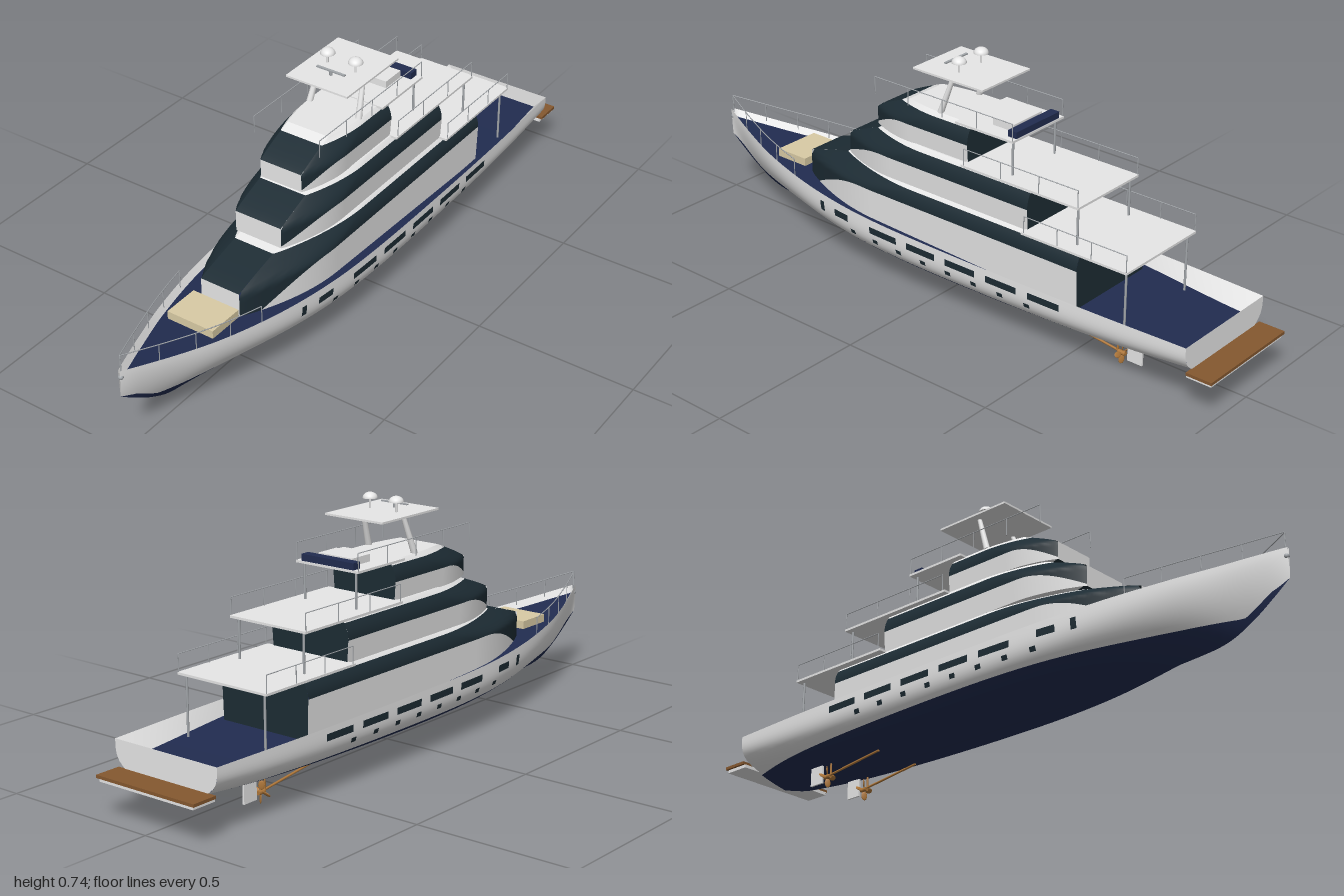
import * as THREE from 'three';

const mat = (name, color, side = THREE.DoubleSide) => {
  const m = new THREE.MeshStandardMaterial({ color, side });
  m.name = name;
  return m;
};
const WHITE = mat('white paint', 0xe9e9e9), NAVY = mat('navy', 0x212c50), GLASS = mat('dark glass', 0x1d2c34),
  TEAK = mat('teak', 0x85582f), CREAM = mat('cream cushion', 0xd9cba5), BRONZE = mat('bronze', 0xb0783a),
  STEEL = mat('steel', 0xa4a8ac);

// Smooth function through a few [z, value] stations
function stations(pts) {
  const n = pts.length;
  const slope = i => {
    const a = pts[Math.max(0, i - 1)], b = pts[Math.min(n - 1, i + 1)];
    return (b[1] - a[1]) / (b[0] - a[0]);
  };
  return z => {
    let i = 0;
    while (i < n - 2 && z > pts[i + 1][0]) i++;
    const [z0, a] = pts[i], [z1, b] = pts[i + 1], d = z1 - z0, t = THREE.MathUtils.clamp((z - z0) / d, 0, 1);
    const t2 = t * t, t3 = t2 * t;
    return a * (2 * t3 - 3 * t2 + 1) + b * (3 * t2 - 2 * t3) + d * (slope(i) * (t3 - 2 * t2 + t) + slope(i + 1) * (t3 - t2));
  };
}

// Smooth surface from fn(u, v) -> [x, y, z]
function sheet(parent, name, material, nu, nv, fn) {
  const pos = [], idx = [];
  for (let i = 0; i <= nu; i++) for (let j = 0; j <= nv; j++) pos.push(...fn(i / nu, j / nv));
  for (let i = 0; i < nu; i++) for (let j = 0; j < nv; j++) {
    const a = i * (nv + 1) + j, b = a + nv + 1;
    idx.push(a, b, a + 1, b, b + 1, a + 1);
  }
  const g = new THREE.BufferGeometry();
  g.setAttribute('position', new THREE.Float32BufferAttribute(pos, 3));
  g.setIndex(idx);
  g.computeVertexNormals();
  return add(parent, name, g, material);
}
function add(parent, name, geo, material, x = 0, y = 0, z = 0) {
  const m = new THREE.Mesh(geo, material);
  m.name = name;
  m.position.set(x, y, z);
  parent.add(m);
  return m;
}
// Box given by its limits
const box = (p, name, m, x0, x1, y0, y1, z0, z1) => add(p, name, new THREE.BoxGeometry(x1 - x0, y1 - y0, z1 - z0), m,
  (x0 + x1) / 2, (y0 + y1) / 2, (z0 + z1) / 2);
// Round bar between two points
function bar(p, name, m, a, b, r, r2 = r) {
  const A = new THREE.Vector3(...a), B = new THREE.Vector3(...b), d = B.clone().sub(A);
  const mesh = add(p, name, new THREE.CylinderGeometry(r2, r, d.length(), 8), m);
  mesh.position.copy(A).add(B).multiplyScalar(0.5);
  mesh.quaternion.setFromUnitVectors(new THREE.Vector3(0, 1, 0), d.normalize());
  return mesh;
}

// Hull lines
const STERN = -0.92;
const beam = stations([[-0.92, 0.185], [-0.6, 0.197], [-0.2, 0.202], [0.1, 0.2], [0.3, 0.19], [0.5, 0.163], [0.7, 0.115], [0.85, 0.063], [0.95, 0.024], [1, 0.003]]);
const keel = stations([[-0.92, 0.08], [-0.7, 0.058], [-0.4, 0.045], [0, 0.041], [0.5, 0.047], [0.7, 0.055], [0.8, 0.068], [0.88, 0.105], [0.95, 0.152], [1, 0.19]]);
const sheer = stations([[-0.92, 0.205], [0, 0.209], [0.3, 0.215], [0.6, 0.232], [0.8, 0.25], [1, 0.277]]);
const fullness = stations([[-0.92, 3.6], [0, 4.2], [0.3, 3.8], [0.6, 2.6], [0.85, 1.8], [1, 1.5]]);
const halfWidth = (z, y) => {
  const t = THREE.MathUtils.clamp((y - keel(z)) / (sheer(z) - keel(z)), 0, 1);
  return beam(z) * (1 - Math.pow(1 - t, fullness(z)));
};
const waterline = z => Math.max(0.108 + 0.005 * z, keel(z) + 0.018 * Math.min(1, (1 - z) / 0.06));
const along = u => STERN + (1 - STERN) * (1 - Math.pow(1 - u, 1.5));
const mix = THREE.MathUtils.lerp;
const deckY = z => sheer(z) - mix(0.05, 0.02, THREE.MathUtils.smoothstep(z, -0.9, 0.4));
const deckHalf = z => Math.max(0.001, beam(z) - mix(0.042, 0.013, THREE.MathUtils.smoothstep(z, -0.95, -0.4)));

function buildHull(root) {
  const hull = new THREE.Group();
  hull.name = 'hull';
  root.add(hull);
  sheet(hull, 'hullBottom', NAVY, 64, 32, (u, v) => {
    const z = along(u), s = 2 * v - 1, y = mix(keel(z), waterline(z), Math.pow(Math.abs(s), 1.4));
    return [Math.sign(s) * halfWidth(z, y), y, z];
  });
  for (const s of [-1, 1]) {
    sheet(hull, 'topside', WHITE, 64, 10, (u, v) => {
      const z = along(u), y = mix(waterline(z), sheer(z), v);
      return [s * halfWidth(z, y), y, z];
    });
    sheet(hull, 'bulwarkInside', WHITE, 64, 1, (u, v) => {
      const z = along(u);
      return [s * mix(beam(z), deckHalf(z), v), mix(sheer(z), deckY(z), v), z];
    });
    // Windows and portholes lying on the hull skin
    const pane = (name, z0, z1, y0, y1) => sheet(hull, name, GLASS, 4, 2, (u, v) => {
      const z = mix(z0, z1, u), y = mix(y0, y1, v);
      return [s * (halfWidth(z, y) + 0.002), y, z];
    });
    pane('hullWindow', 0.3, 0.36, 0.171, 0.193);
    for (let i = 0; i < 5; i++) pane('hullWindow', 0.095 - i * 0.151, 0.205 - i * 0.151, 0.168, 0.189);
    for (let i = 0; i < 8; i++) pane('porthole', 0.272 - i * 0.0965, 0.292 - i * 0.0965, 0.136, 0.15);
    pane('anchorPocket', 0.41, 0.428, 0.165, 0.198);
  }
  // Transom
  const transom = (name, m, y0, y1) => sheet(hull, name, m, 16, 8, (u, v) => {
    const y = mix(y0, y1, v);
    return [(2 * u - 1) * halfWidth(STERN, y), y, STERN];
  });
  transom('transomBottom', NAVY, keel(STERN), waterline(STERN));
  transom('transom', WHITE, waterline(STERN), sheer(STERN));
  sheet(hull, 'deck', NAVY, 64, 2, (u, v) => {
    const z = along(u);
    return [(2 * v - 1) * deckHalf(z), deckY(z), z];
  });
  box(hull, 'swimPlatform', WHITE, -0.17, 0.17, 0.108, 0.118, -0.995, -0.915);
  box(hull, 'platformTeak', TEAK, -0.177, 0.177, 0.118, 0.127, -1, -0.918);
  box(hull, 'sunPad', CREAM, -0.078, 0.078, 0.225, 0.25, 0.59, 0.705);
  add(hull, 'bowFairlead', new THREE.SphereGeometry(0.008, 12, 8), STEEL, 0, 0.253, 0.994);
}

// Superstructure deck: raked nose, rounded shoulders, glass band dipping forward
function buildTier(root, { name, W, nose, front, topZ, aft, y0, yMid, yTop, L }) {
  const tier = new THREE.Group();
  tier.name = name;
  root.add(tier);
  const h = y => THREE.MathUtils.clamp((y - yMid) / (yTop - yMid), 0, 1);
  const wide = y => W - 0.024 * Math.pow(h(y), 2.2) - 0.004 * (1 - THREE.MathUtils.clamp((y - y0) / (yMid - y0), 0, 1));
  const zFront = y => mix(front, topZ, Math.pow(h(y), 1.15));
  const outline = (u, y) => {
    const s = Math.min(1, u / 0.8), zs = zFront(y) - L * s;
    return [mix(nose, wide(y), Math.pow(Math.sin(s * Math.PI / 2), 0.85)), y, u < 0.8 ? zs : mix(zs, aft, (u - 0.8) / 0.2)];
  };
  const yRoof = mix(yMid, yTop, 0.78);
  const sill = u => mix(y0 + 0.006, yMid, Math.min(1, Math.sin(Math.min(1, u / 0.7) * Math.PI / 2)));
  const band = (part, m, lo, hi, noseLo) => {
    for (const s of [-1, 1]) sheet(tier, part + 'Side', m, 40, 8, (u, v) => {
      const [x, y, z] = outline(u, mix(lo(u), hi(u), v));
      return [s * x, y, z];
    });
    sheet(tier, part + 'Nose', m, 2, 8, (u, v) => {
      const y = mix(noseLo, hi(1), v);
      return [(2 * u - 1) * nose, y, zFront(y)];
    });
  };
  band('wall', WHITE, () => y0, sill, y0);
  band('window', GLASS, sill, () => yRoof, yMid);
  band('roofEdge', WHITE, () => yRoof, () => yTop, yRoof);
  sheet(tier, 'roof', WHITE, 40, 2, (u, v) => {
    const [x, y, z] = outline(u, yTop);
    return [(2 * v - 1) * x, y, z];
  });
  sheet(tier, 'aftGlass', GLASS, 2, 12, (u, v) => {
    const y = mix(y0, yTop, v);
    return [(2 * u - 1) * wide(y), y, aft];
  });
}

// Aft deck overhang with posts below and side rails above
function buildTerrace(root, { name, w, y, aft, slabFront, railFront, floor, posts }) {
  const g = new THREE.Group();
  g.name = name;
  root.add(g);
  box(g, 'terraceSlab', WHITE, -w, w, y - 0.007, y, aft, slabFront);
  for (const s of [-1, 1]) {
    bar(g, 'support', STEEL, [s * (w - 0.02), floor, aft + 0.015], [s * (w - 0.02), y - 0.004, aft + 0.015], 0.0035);
    const x = s * (w - 0.002);
    bar(g, 'handrail', STEEL, [x, y + 0.051, aft + 0.003], [x, y + 0.051, railFront], 0.0014);
    for (let i = 0; i < posts; i++) {
      const z = mix(aft + 0.003, railFront, i / (posts - 1));
      bar(g, 'railPost', STEEL, [x, y - 0.003, z], [x, y + 0.051, z], 0.0014);
    }
  }
}

function buildMast(root) {
  const mast = new THREE.Group();
  mast.name = 'mast';
  root.add(mast);
  box(mast, 'hardtop', WHITE, -0.105, 0.105, 0.691, 0.697, -0.152, 0.107);
  bar(mast, 'radarPost', STEEL, [0, 0.697, 0.035], [0, 0.711, 0.035], 0.005);
  box(mast, 'radarArm', STEEL, -0.048, 0.048, 0.709, 0.713, 0.031, 0.039);
  for (const s of [-1, 1]) {
    bar(mast, 'mastLeg', WHITE, [s * 0.085, 0.575, 0.02], [s * 0.074, 0.692, -0.02], 0.01, 0.007);
    bar(mast, 'domeStem', WHITE, [s * 0.048, 0.695, -0.018], [s * 0.048, 0.728, -0.018], 0.003);
    const dome = add(mast, 'satelliteDome', new THREE.SphereGeometry(0.022, 24, 10, 0, Math.PI * 2, 0, Math.PI / 2), WHITE, s * 0.048, 0.727, -0.018);
    dome.scale.y = 0.8;
    const base = add(mast, 'domeBase', new THREE.CircleGeometry(0.022, 24), WHITE, s * 0.048, 0.727, -0.018);
    base.rotation.x = Math.PI / 2;
  }
}

function buildRunningGear(root, s) {
  const g = new THREE.Group();
  g.name = 'runningGear';
  root.add(g);
  const x = s * 0.077, y = 0.034, z = -0.64;
  bar(g, 'shaft', BRONZE, [x, y, z - 0.012], [x, 0.062, -0.42], 0.0035);
  bar(g, 'hub', BRONZE, [x, y, z - 0.012], [x, y, z + 0.012], 0.007);
  for (let i = 0; i < 4; i++) {
    const spin = new THREE.Group();
    spin.position.set(x, y, z);
    spin.rotation.z = i * Math.PI / 2 + 0.1;
    g.add(spin);
    const blade = add(spin, 'blade', new THREE.SphereGeometry(1, 12, 8), BRONZE, 0, 0.02, 0);
    blade.scale.set(0.009, 0.014, 0.0022);
    blade.rotation.y = 0.6;
  }
  bar(g, 'strut', BRONZE, [x, y, z + 0.015], [x, 0.075, z + 0.015], 0.003);
  box(g, 'rudder', WHITE, x - 0.003, x + 0.003, 0.018, 0.075, -0.71, -0.66);
}

function buildBowRail(root, s) {
  const g = new THREE.Group();
  g.name = 'bowRail';
  root.add(g);
  const n = 9, at = i => {
    const z = mix(0.57, 0.992, i / (n - 1));
    return [s * Math.max(0.001, beam(z) - 0.006), z];
  };
  const pts = [];
  for (let i = 0; i < n; i++) {
    const [x, z] = at(i);
    const top = sheer(z) + 0.048;
    pts.push(new THREE.Vector3(x, top, z));
    if (i % 2 === 0) bar(g, 'railPost', STEEL, [x, sheer(z) - 0.01, z], [x, top, z], 0.0014);
  }
  add(g, 'handrail', new THREE.TubeGeometry(new THREE.CatmullRomCurve3(pts), 40, 0.0016, 6), STEEL);
}

export function createModel() {
  const root = new THREE.Group();
  root.name = 'motorYacht';
  buildHull(root);
  buildTier(root, { name: 'mainDeckHouse', W: 0.158, nose: 0.066, front: 0.57, topZ: 0.36, aft: -0.535, y0: 0.165, yMid: 0.284, yTop: 0.34, L: 0.34 });
  buildTier(root, { name: 'upperDeckHouse', W: 0.14, nose: 0.078, front: 0.39, topZ: 0.235, aft: -0.345, y0: 0.338, yMid: 0.403, yTop: 0.464, L: 0.22 });
  buildTier(root, { name: 'bridgeHouse', W: 0.115, nose: 0.07, front: 0.28, topZ: 0.15, aft: -0.105, y0: 0.462, yMid: 0.518, yTop: 0.577, L: 0.16 });
  buildTerrace(root, { name: 'mainTerrace', w: 0.162, y: 0.342, aft: -0.705, slabFront: -0.34, railFront: -0.35, floor: 0.155, posts: 4 });
  buildTerrace(root, { name: 'upperTerrace', w: 0.138, y: 0.466, aft: -0.52, slabFront: -0.1, railFront: -0.11, floor: 0.34, posts: 4 });
  buildTerrace(root, { name: 'sunDeck', w: 0.114, y: 0.58, aft: -0.27, slabFront: -0.06, railFront: 0.25, floor: 0.464, posts: 5 });
  // Sun deck seating
  box(root, 'sofa', NAVY, -0.095, 0.095, 0.58, 0.6, -0.268, -0.238);
  box(root, 'spaTub', WHITE, -0.062, 0.062, 0.58, 0.602, -0.232, -0.155);
  buildMast(root);
  for (const s of [-1, 1]) {
    buildRunningGear(root, s);
    buildBowRail(root, s);
  }
  return root;
}
